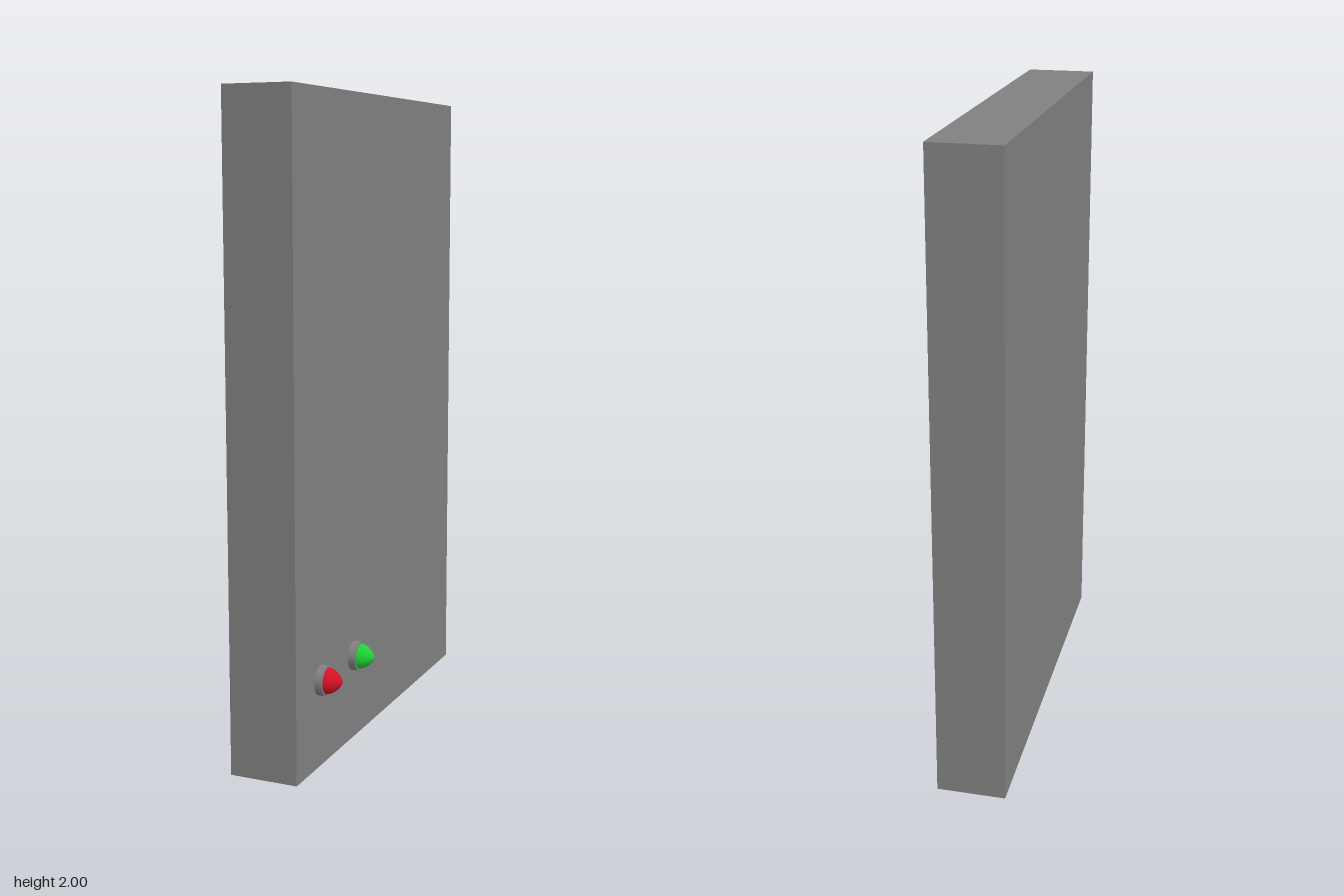
import * as THREE from 'three';

const flat = (name, color) => {
  const m = new THREE.MeshStandardMaterial({ color });
  m.name = name;
  return m;
};

export function createModel() {
  const grey = flat('panel grey', 0x808080);
  const red = flat('signal red', 0xd41024);
  const green = flat('signal green', 0x20cc38);

  const group = new THREE.Group();
  group.name = 'panelWithLights';

  // Upright slab
  const panel = new THREE.Mesh(new THREE.BoxGeometry(0.215, 2, 1.286), grey);
  panel.name = 'panel';
  panel.position.set(-0.0355, 1, 0);
  group.add(panel);

  // Rounded lens profile: radius, height above the collar
  const profile = [[0.04, 0], [0.037, 0.011], [0.031, 0.022], [0.022, 0.033], [0.011, 0.042], [0.005, 0.045], [0, 0.046]]
    .map(([r, h]) => new THREE.Vector2(r, h));
  const lensGeometry = new THREE.LatheGeometry(profile, 32);
  const collarGeometry = new THREE.CylinderGeometry(0.046, 0.046, 0.024, 32);

  // Indicator lights, built upward and then turned to point along +x
  const addLight = (name, z, material) => {
    const light = new THREE.Group();
    light.name = name;
    const collar = new THREE.Mesh(collarGeometry, grey);
    collar.name = name + 'Collar';
    collar.position.y = 0.012;
    const lens = new THREE.Mesh(lensGeometry, material);
    lens.name = name + 'Lens';
    lens.position.y = 0.024;
    light.add(collar, lens);
    light.rotation.z = -Math.PI / 2;
    light.position.set(0.072, 0.268, z);
    group.add(light);
  };
  addLight('redLight', 0.473, red);
  addLight('greenLight', 0.225, green);

  return group;
}
